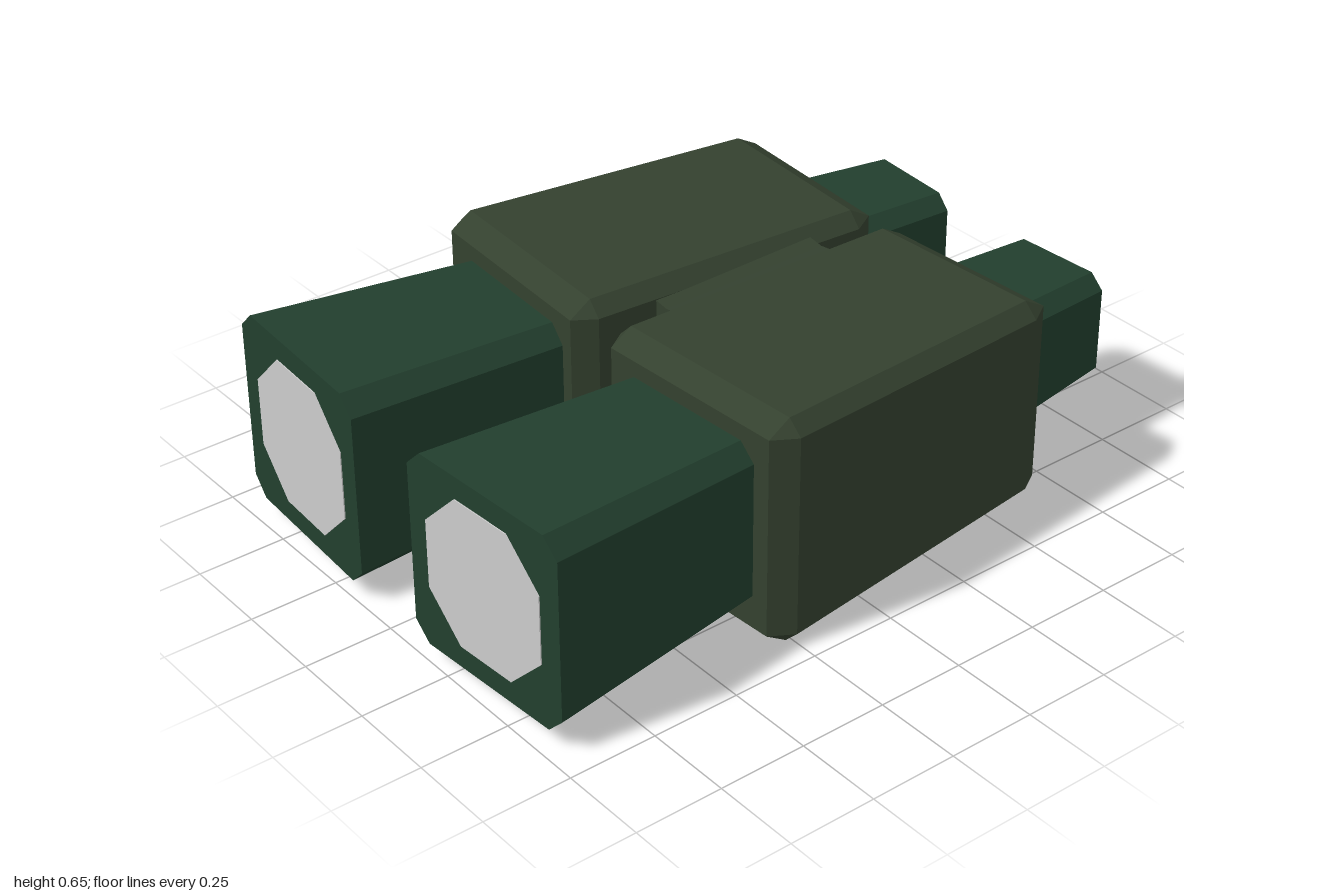
import * as THREE from 'three';

const paint = (color) => new THREE.MeshStandardMaterial({ color, flatShading: true });

// Each barrel toes outwards, so its end faces slant in z across x.
const SLANT = 0.06, MID_X = 0.35;

// Rectangle with cut corners, counter-clockwise seen from the front.
function section({ x0, x1, y0, y1, c, z }, side) {
  return [
    [x0 + c, y0], [x1 - c, y0], [x1, y0 + c], [x1, y1 - c],
    [x1 - c, y1], [x0 + c, y1], [x0, y1 - c], [x0, y0 + c],
  ].map(([x, y]) => new THREE.Vector3(side * x, y, z + SLANT * (MID_X - x)));
}

// Closed solid through sections listed from front to back; side -1 mirrors it.
function loft(sections, side) {
  const rings = sections.map((s) => section(s, side));
  const n = 8, points = [];
  const tri = (a, b, d) => {
    const area = b.clone().sub(a).cross(d.clone().sub(a)).length();
    if (area > 1e-9) points.push(...(side > 0 ? [a, b, d] : [a, d, b]));
  };
  for (let r = 0; r < rings.length - 1; r++) {
    const A = rings[r], B = rings[r + 1];
    for (let i = 0; i < n; i++) {
      const j = (i + 1) % n;
      tri(A[i], B[i], B[j]);
      tri(A[i], B[j], A[j]);
    }
  }
  const front = rings[0], back = rings[rings.length - 1];
  for (let i = 1; i < n - 1; i++) {
    tri(front[0], front[i], front[i + 1]);
    tri(back[0], back[i + 1], back[i]);
  }
  const geometry = new THREE.BufferGeometry().setFromPoints(points);
  geometry.computeVertexNormals();
  return geometry;
}

export function createModel() {
  const model = new THREE.Group();
  model.name = 'binoculars';
  const tubePaint = paint(0x223f2e), bodyPaint = paint(0x34412f), glass = paint(0xcccccc);

  const parts = [
    // Tapered tube running from the objective to the eyepiece
    ['Tube', tubePaint, [
      { x0: 0.12, x1: 0.675, y0: 0.05, y1: 0.607, c: 0.05, z: 0.985 },
      { x0: 0.13, x1: 0.455, y0: 0.17, y1: 0.49, c: 0.04, z: -0.994 },
    ]],
    // Bevelled housing around the tube
    ['Housing', bodyPaint, [
      { x0: 0.085, x1: 0.655, y0: 0.04, y1: 0.615, c: 0, z: 0.345 },
      { x0: 0.045, x1: 0.695, y0: 0, y1: 0.655, c: 0.04, z: 0.282 },
      { x0: 0.025, x1: 0.615, y0: 0.03, y1: 0.625, c: 0.04, z: -0.575 },
      { x0: 0.062, x1: 0.577, y0: 0.068, y1: 0.587, c: 0, z: -0.64 },
    ]],
    // Octagonal glass, just proud of each end
    ['ObjectiveLens', glass, [0.988, 0.975].map((z) => (
      { x0: 0.185, x1: 0.607, y0: 0.115, y1: 0.543, c: 0.116, z }))],
    ['EyepieceLens', glass, [-0.98, -0.997].map((z) => (
      { x0: 0.17, x1: 0.415, y0: 0.208, y1: 0.452, c: 0.07, z }))],
  ];
  for (const [prefix, side] of [['left', 1], ['right', -1]]) {
    for (const [name, material, sections] of parts) {
      const mesh = new THREE.Mesh(loft(sections, side), material);
      mesh.name = prefix + name;
      model.add(mesh);
    }
  }

  // Bridge between the housings, its top dipping slightly at the middle
  const bridgeShape = new THREE.Shape([
    [-0.07, 0.37], [0.07, 0.37], [0.07, 0.61], [0, 0.6], [-0.07, 0.61],
  ].map(([x, y]) => new THREE.Vector2(x, y)));
  const bridge = new THREE.Mesh(
    new THREE.ExtrudeGeometry(bridgeShape, { depth: 0.52, bevelEnabled: false }), bodyPaint);
  bridge.position.z = -0.4;
  bridge.name = 'bridge';
  model.add(bridge);

  return model;
}
